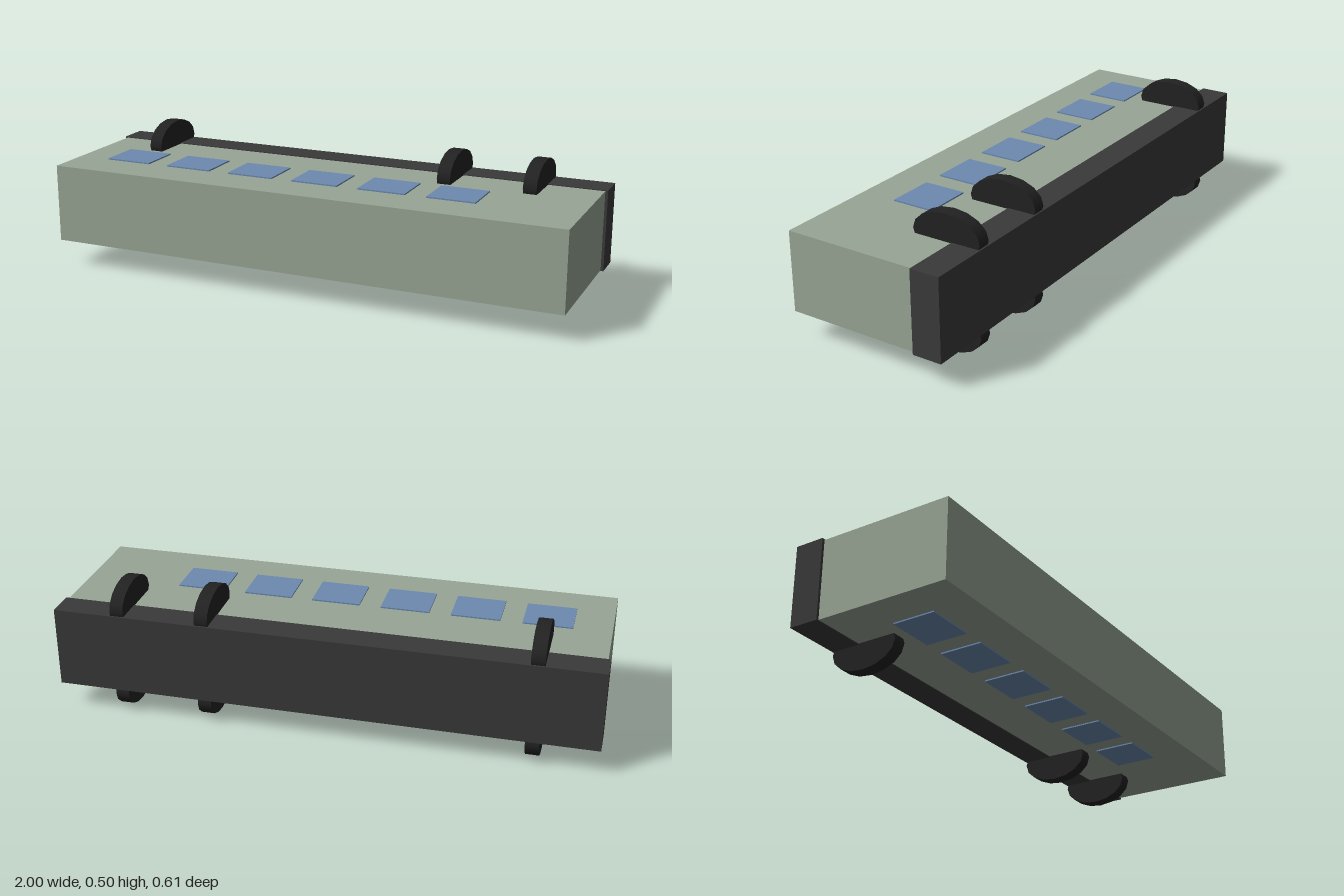
import * as THREE from 'three';

export function createModel() {
  const group = new THREE.Group();
  const paint = new THREE.MeshStandardMaterial({ color: 0x98a696, name: 'sage paint' });
  const chassisGrey = new THREE.MeshStandardMaterial({ color: 0x3a3a3a, name: 'chassis grey' });
  const rubber = new THREE.MeshStandardMaterial({ color: 0x222222, name: 'black rubber' });
  const glass = new THREE.MeshStandardMaterial({ color: 0x6c8ab0, name: 'blue glass' });
  const midY = 0.2485;

  function add(name, geometry, material, x, y, z) {
    const mesh = new THREE.Mesh(geometry, material);
    mesh.name = name;
    mesh.position.set(x, y, z);
    group.add(mesh);
  }

  // Long body and the slightly larger chassis slab behind it
  add('body', new THREE.BoxGeometry(1.98, 0.295, 0.5), paint, 0, midY, 0.055);
  add('chassis', new THREE.BoxGeometry(2, 0.302, 0.11), chassisGrey, 0, midY, -0.25);

  // Oval wheels: a 16-sided disc with its axis along x
  const wheel = new THREE.CylinderGeometry(1, 1, 0.05, 16);
  wheel.rotateZ(Math.PI / 2);
  wheel.scale(1, 0.081, 0.131);
  const pane = new THREE.BoxGeometry(0.18, 0.005, 0.16);

  // Wheels and windows, mirrored onto the upper and lower sides
  for (const side of [1, -1]) {
    const label = side > 0 ? 'upper' : 'lower';
    for (const x of [-0.763, 0.437, 0.757]) {
      add(label + 'Wheel', wheel, rubber, x, midY + side * 0.1665, -0.173);
    }
    for (let i = 0; i < 6; i++) {
      add(label + 'Window', pane, glass, -0.762 + i * 0.2596, midY + side * 0.1545, 0.08);
    }
  }
  return group;
}
